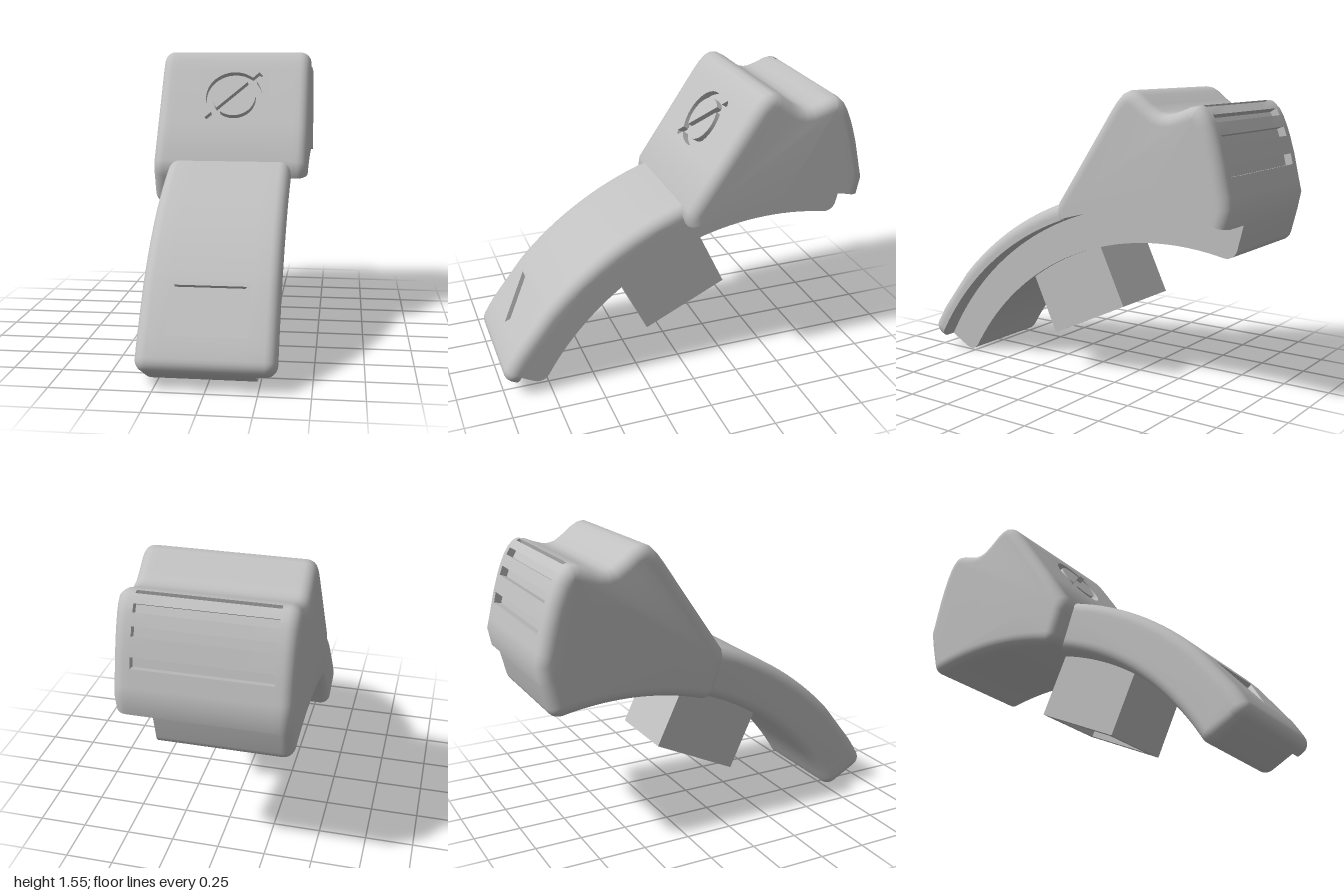
import * as THREE from 'three';
import { toCreasedNormals } from 'three/addons/utils/BufferGeometryUtils.js';

const body = new THREE.MeshStandardMaterial({ color: 0xc0c0c0 });
body.name = 'grey plastic';

// The side profile is laid out around one arc centre; points are [z, y].
const CZ = -0.57, CY = -0.737;
const R_TOP = 1.8, R_MID = 1.712, R_LOW = 1.522, ROUND = 0.06;
const RAD = Math.PI / 180;
const polar = (deg, r) => [CZ + r * Math.cos(deg * RAD), CY + r * Math.sin(deg * RAD)];
const angleOf = ([z, y]) => Math.atan2(y - CY, z - CZ) / RAD;

// Polyline from the middle arc out to radius R, along it, and back; rounded ends are optional.
function band(R, a0, a1, round0, round1, inner) {
  const s = Math.sign(R - R_MID), pts = [polar(a0, R_MID)];
  const corner = (a, dir) => {
    const out = [];
    for (let i = 0; i <= 6; i++) {
      const t = i / 6 * Math.PI / 2;
      out.push(polar(a + dir * ROUND * (1 - Math.cos(t)) / R / RAD, R - s * ROUND * (1 - Math.sin(t))));
    }
    return out;
  };
  pts.push(...(round0 ? corner(a0, 1) : [polar(a0, R)]));
  for (const a of inner) pts.push(polar(a, R));
  pts.push(...(round1 ? corner(a1, -1).reverse() : [polar(a1, R)]));
  pts.push(polar(a1, R_MID));
  return pts;
}

// Moves a polyline inwards by d with mitred corners; s is +1 above the middle arc, -1 below.
function inset(pts, d, s) {
  const normals = pts.slice(1).map((p, i) => {
    const dz = p[0] - pts[i][0], dy = p[1] - pts[i][1], l = Math.hypot(dz, dy) || 1;
    return [s * dy / l, -s * dz / l];
  });
  return pts.map((p, i) => {
    const a = normals[Math.max(i - 1, 0)], b = normals[Math.min(i, normals.length - 1)];
    const k = d / (1 + a[0] * b[0] + a[1] * b[1]);
    return [p[0] - (a[0] + b[0]) * k, p[1] - (a[1] + b[1]) * k];
  });
}

// Lofts a profile across x. stations: [x, inset]; holes: [segment, halfWidth] leave openings.
function loft(name, line, s, stations, holes = []) {
  const loops = stations.map(([x, d]) => {
    const p = inset(line, d, s);
    const a = angleOf(p[p.length - 1]), b = angleOf(p[0]);
    for (let i = 1; i < 40; i++) p.push(polar(a + (b - a) * i / 40, R_MID));
    if (s < 0) p.reverse();
    return p.map(([z, y]) => new THREE.Vector3(x, y, z));
  });
  const pos = [], cross = new THREE.Vector3(), e = new THREE.Vector3();
  const tri = (a, b, c) => {
    cross.subVectors(b, a).cross(e.subVectors(c, a));
    if (cross.length() < 1e-9) return;
    for (const v of [a, b, c]) pos.push(v.x * 100, v.y * 100, v.z * 100);
  };
  const n = loops[0].length;
  for (let i = 0; i < loops.length - 1; i++) for (let j = 0; j < n; j++) {
    const xm = Math.abs(stations[i][0] + stations[i + 1][0]) / 2;
    if (holes.some(([seg, w]) => seg === j && xm < w)) continue;
    const k = (j + 1) % n, [a, b, c, d] = [loops[i][j], loops[i + 1][j], loops[i + 1][k], loops[i][k]];
    tri(a, b, c);
    tri(a, c, d);
  }
  // end caps
  for (const [loop, side] of [[loops[0], -1], [loops[loops.length - 1], 1]]) {
    const flat = loop.map(v => new THREE.Vector2(v.z, v.y));
    for (const [i, j, k] of THREE.ShapeUtils.triangulateShape(flat, [])) {
      const [a, b, c] = [loop[i], loop[j], loop[k]];
      const nx = (b.y - a.y) * (c.z - a.z) - (b.z - a.z) * (c.y - a.y);
      if (nx * side > 0) tri(a, b, c); else tri(a, c, b);
    }
  }
  let geo = new THREE.BufferGeometry();
  geo.setAttribute('position', new THREE.Float32BufferAttribute(pos, 3));
  geo = toCreasedNormals(geo, 0.6);
  geo.scale(0.01, 0.01, 0.01);
  return part(name, geo);
}

function part(name, geo) {
  const m = new THREE.Mesh(geo, body);
  m.name = name;
  return m;
}

// x stations with rounded edges at both sides, or a plain cut at cutX
function stationsFor(half, inner, cutX) {
  const edge = [];
  for (let i = 0; i <= 7; i++) {
    const t = i / 7 * Math.PI / 2;
    edge.push([half - ROUND * (1 - Math.cos(t)), ROUND * (1 - Math.sin(t))]);
  }
  edge.reverse(); // inner flat station last
  edge.sort((a, b) => b[0] - a[0]);
  const left = edge.map(([x, d]) => [-x, ROUND - (ROUND - d)]);
  left.push(...inner.map(x => [-x, 0]));
  if (cutX !== undefined) return [...left, [cutX, 0]];
  return [...left, ...left.map(([x, d]) => [-x, d]).reverse()];
}

// Group lying on the surface segment A-B: local y runs along it, local z points out.
function onSurface(name, A, B) {
  const g = new THREE.Group();
  g.name = name;
  g.position.set(0, (A[1] + B[1]) / 2, (A[0] + B[0]) / 2);
  g.rotation.x = Math.atan2(B[0] - A[0], B[1] - A[1]);
  return g;
}

const dist = (A, B) => Math.hypot(A[0] - B[0], A[1] - B[1]);
const rect = (w, h) => new THREE.Shape([[-w, -h], [w, -h], [w, h], [-w, h]].map(p => new THREE.Vector2(...p)));
const slab = (shape, z0, depth) =>
  new THREE.ExtrudeGeometry(shape, { depth, bevelEnabled: false, curveSegments: 32 }).translate(0, 0, z0);

// Plate with an engraved outline
function engraved(name, A, B, w, depth, outline, islands = []) {
  const g = onSurface(name, A, B), L = dist(A, B);
  const plate = rect(w, L / 2);
  plate.holes.push(new THREE.Path(outline));
  g.add(part(name + 'Plate', slab(plate, -depth, depth)));
  g.add(part(name + 'Floor', new THREE.PlaneGeometry(2 * w, L).translate(0, 0, -depth)));
  for (const pts of islands) g.add(part(name + 'Island', slab(new THREE.Shape(pts), -depth, depth)));
  return g;
}

// Open tray sunk into the surface
function slot(A, B, w, depth) {
  const g = onSurface('ventSlot', A, B);
  const geo = new THREE.BoxGeometry(2 * w, dist(A, B), depth).translate(0, 0, -depth / 2);
  const idx = Array.from(geo.index.array).filter((_, i) => i < 24 || i >= 30);
  geo.setIndex(idx.reverse());
  const nrm = geo.attributes.normal;
  for (let i = 0; i < nrm.array.length; i++) nrm.array[i] *= -1;
  g.add(part('ventSlotTray', geo));
  return g;
}

export function createModel() {
  const model = new THREE.Group();
  model.name = 'curvedLever';
  const range = (a, b, step) => Array.from({ length: Math.floor((b - a) / step) + 1 }, (_, i) => a + i * step);
  const A0 = 28.2, H0 = 70.6, H1 = 103.9, CUT = 0.235;

  // Lever arm: full-width upper layer, narrower lower layer
  const arm = band(R_TOP, A0, 80, true, false, [31.8, 33.5, 42.5, ...range(44, 78, 2)]);
  const armSeg = 9;
  model.add(loft('leverTop', arm, 1, stationsFor(0.34, [0.2]), [[armSeg, 0.2]]));
  model.add(loft('leverUnderside', band(R_LOW, A0, 80, true, false, range(32, 78, 2)), -1, stationsFor(0.34, [], CUT)));

  // Triangle sunk into the arm
  const V = (x, y) => new THREE.Vector2(x, y);
  model.add(engraved('triangleMark', arm[armSeg], arm[armSeg + 1], 0.2, 0.025,
    [V(-0.178, 0.122), V(0.178, 0.122), V(0, -0.125)]));

  // Head: front slope, thumb valley and ribbed back
  const head = [polar(H0, R_MID), [0.012, 0.917], [0.004, 0.97], [-0.127, 1.164], [-0.325, 1.458],
    [-0.36, 1.505], [-0.395, 1.54], [-0.43, 1.555], [-0.465, 1.55], [-0.5, 1.53], [-0.55, 1.49],
    [-0.6, 1.457], [-0.635, 1.448], [-0.67, 1.45], [-0.72, 1.465], [-0.765, 1.484],
    [-0.805, 1.491], [-0.826, 1.485], [-0.862, 1.45], [-0.883, 1.415], [-0.908, 1.357], [-0.925, 1.31],
    [-0.952, 1.22], [-0.965, 1.165], [-0.985, 1.08], [-1, 1.02], polar(H1, R_MID)];
  const slots = [16, 18, 20, 22];
  model.add(loft('headTop', head, 1, stationsFor(0.43, [0.34, 0.2]), [[3, 0.2], ...slots.map(i => [i, 0.34])]));
  model.add(loft('headUnderside', band(R_LOW, H0, H1, true, true, range(74, 100, 2)), -1, stationsFor(0.43, [], CUT)));
  for (const i of slots) model.add(slot(head[i], head[i + 1], 0.34, 0.04));

  // Ring and diagonal bar engraved in the head
  const arcPts = (r, a, b) => Array.from({ length: 25 }, (_, i) =>
    V(r * Math.cos(a + (b - a) * i / 24), r * Math.sin(a + (b - a) * i / 24)));
  const diag = Math.PI / 4, w = 0.016, outline = [], islands = [];
  for (const k of [0, 1]) {
    const a = diag + k * Math.PI, o = Math.asin(w / 0.16), q = Math.asin(w / 0.122);
    const c = Math.cos(a), s = Math.sin(a);
    outline.push(V(0.21 * c + w * s, 0.21 * s - w * c), V(0.21 * c - w * s, 0.21 * s + w * c));
    outline.push(...arcPts(0.16, a + o, a + Math.PI - o));
    islands.push(arcPts(0.122, a + q, a + Math.PI - q));
  }
  model.add(engraved('ringMark', head[3], head[4], 0.2, 0.035, outline, islands));

  // Hollow post below the arm, with ledges inside
  const post = onSurface('mountingPost', [0.17, 0.2], [-0.28, 0.415]);
  const wall = rect(0.215, 0.25);
  wall.holes.push(rect(0.16, 0.195));
  post.add(part('postWall', slab(wall, 0, 0.41)));
  for (const [x, z] of [[-0.145, 0.06], [-0.115, 0.14]])
    post.add(part('postLedge', new THREE.BoxGeometry(0.03, 0.39, 0.4 - z).translate(x, 0, z + (0.4 - z) / 2)));
  model.add(post);
  return model;
}
